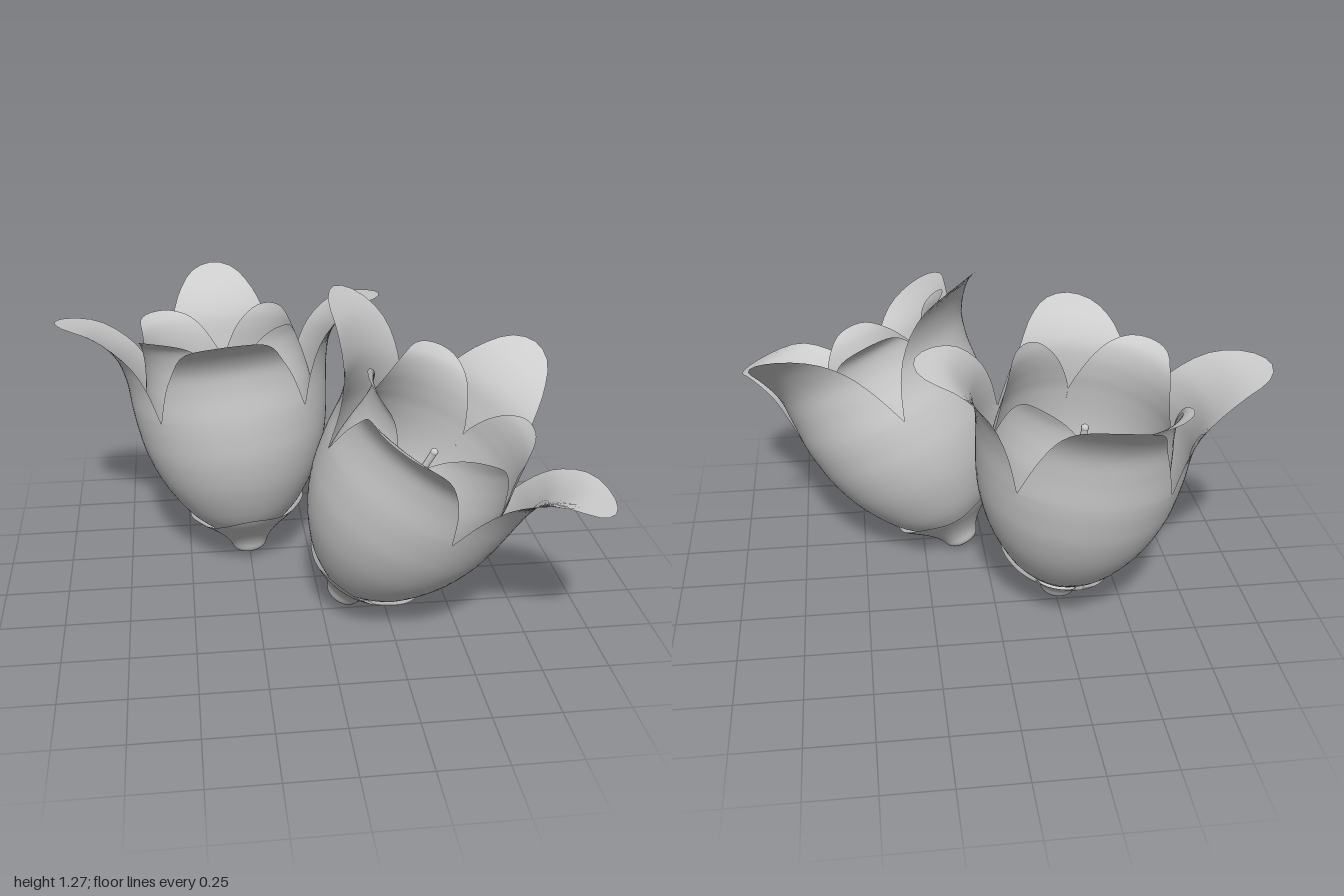
import * as THREE from 'three';

const material = new THREE.MeshStandardMaterial({ color: 0xcccccc, side: THREE.DoubleSide });

// Profiles are [radius, height] pairs along the flower axis.
const OUTER_CUP = [[0.04, 0.06], [0.1, 0.1], [0.175, 0.165], [0.243, 0.24], [0.32, 0.37], [0.367, 0.5], [0.386, 0.6], [0.396, 0.69]];
const INNER_CUP = [[0.001, 0.08], [0.08, 0.115], [0.155, 0.18], [0.222, 0.255], [0.296, 0.38], [0.335, 0.5], [0.342, 0.62], [0.334, 0.74]];
const CALYX = [[0, 0], [0.035, 0.004], [0.065, 0.02], [0.082, 0.055], [0.108, 0.09], [0.15, 0.13], [0.2, 0.17], [0.24, 0.21], [0.272, 0.255]];

// Petals: heading around the axis and the curve of each tip
const OUTER_PETALS = [
  { name: 'outerPetalLeft', angle: 0, tip: [[0.41, 0.82], [0.445, 0.93], [0.53, 1.015], [0.65, 1.03]] },
  { name: 'outerPetalFront', angle: 90, tip: [[0.4, 0.82], [0.42, 0.91], [0.49, 0.99], [0.585, 1.035]] },
  { name: 'outerPetalRight', angle: 180, tip: [[0.405, 0.82], [0.44, 0.93], [0.53, 1.03], [0.65, 1.08]] },
  { name: 'outerPetalBack', angle: 270, tip: [[0.395, 0.82], [0.405, 0.94], [0.465, 1.05], [0.56, 1.14]] },
];
const CLOSED_TIP = [[0.32, 0.82], [0.308, 0.89], [0.305, 0.95], [0.315, 1.0]];
const OPEN_TIP = [[0.325, 0.82], [0.325, 0.9], [0.345, 0.97], [0.395, 1.01]];
const INNER_PETALS = [
  { name: 'innerPetalFrontLeft', angle: 45, tip: CLOSED_TIP },
  { name: 'innerPetalFrontRight', angle: 135, tip: OPEN_TIP },
  { name: 'innerPetalBackRight', angle: 225, tip: OPEN_TIP },
  { name: 'innerPetalBackLeft', angle: 315, tip: CLOSED_TIP },
];

const spline = (points) => new THREE.SplineCurve(points.map(([r, h]) => new THREE.Vector2(r, h)));

// Bends a grid into a surface: s runs -1..1 across, t runs 0..1 upward
function sheet(name, columns, rows, place) {
  const geometry = new THREE.PlaneGeometry(2, 1, columns, rows);
  const position = geometry.attributes.position;
  const point = new THREE.Vector3();
  for (let i = 0; i < position.count; i++) {
    place(position.getX(i), position.getY(i) + 0.5, point);
    position.setXYZ(i, point.x, point.y, point.z);
  }
  geometry.computeVertexNormals();
  const mesh = new THREE.Mesh(geometry, material);
  mesh.name = name;
  return mesh;
}

// A quarter of a cup whose free lobe narrows to a rounded tip
function petal({ name, angle: degrees, tip }, cup, power, roundness) {
  const curve = spline([...cup, ...tip]);
  const sinus = (cup.length - 1) / (cup.length + tip.length - 1);
  const heading = THREE.MathUtils.degToRad(degrees);
  return sheet(name, 32, 40, (q, t, point) => {
    const s = Math.sin(q * Math.PI / 2);
    const lobe = Math.pow(Math.max(0, 1 - Math.pow(Math.abs(s), power)), roundness);
    const u = t < 0.5 ? t * 2 * sinus : sinus + (t - 0.5) * 2 * (1 - sinus) * lobe;
    const { x: r, y: h } = curve.getPoint(u);
    const angle = heading - s * Math.PI / 4;
    point.set(r * Math.cos(angle), h, r * Math.sin(angle));
  });
}

// Small cap under the cup with a wavy, slanting rim
function calyx() {
  const curve = spline(CALYX);
  return sheet('calyx', 64, 24, (s, t, point) => {
    const angle = -s * Math.PI;
    const rim = 0.83 + 0.04 * Math.cos(4 * angle) + 0.05 * Math.cos(angle - Math.PI / 4);
    const { x: r, y: h } = curve.getPoint(t * rim);
    point.set(r * Math.cos(angle), h, r * Math.sin(angle));
  });
}

function pistil() {
  const group = new THREE.Group();
  group.name = 'pistil';
  const stalk = new THREE.Mesh(new THREE.CylinderGeometry(0.013, 0.013, 0.7, 12), material);
  stalk.name = 'style';
  stalk.position.y = 0.43;
  const head = new THREE.Mesh(new THREE.SphereGeometry(0.015, 12, 8), material);
  head.name = 'stigma';
  head.position.y = 0.785;
  group.add(stalk, head);
  return group;
}

// One whole flower, standing on base, leaning along axis, its left petal toward side
function flower(name, base, axis, side) {
  const group = new THREE.Group();
  group.name = name;
  group.add(calyx(), pistil());
  for (const p of OUTER_PETALS) group.add(petal(p, OUTER_CUP, 1.55, 0.95));
  for (const p of INNER_PETALS) group.add(petal(p, INNER_CUP, 1.8, 0.8));
  const y = new THREE.Vector3(...axis).normalize();
  const z = new THREE.Vector3(...side).cross(y).normalize();
  const x = new THREE.Vector3().crossVectors(y, z);
  group.quaternion.setFromRotationMatrix(new THREE.Matrix4().makeBasis(x, y, z));
  group.position.set(...base);
  return group;
}

export function createModel() {
  const model = new THREE.Group();
  model.name = 'flowerPair';
  model.add(
    flower('uprightFlower', [-0.25, 0.03, -0.22], [-0.1, 1.06, -0.12], [1, 0, 0]),
    flower('leaningFlower', [0.08, 0.02, 0.185], [0.41, 0.89, 0.21], [0.69, -0.52, 0.54]),
  );
  return model;
}
